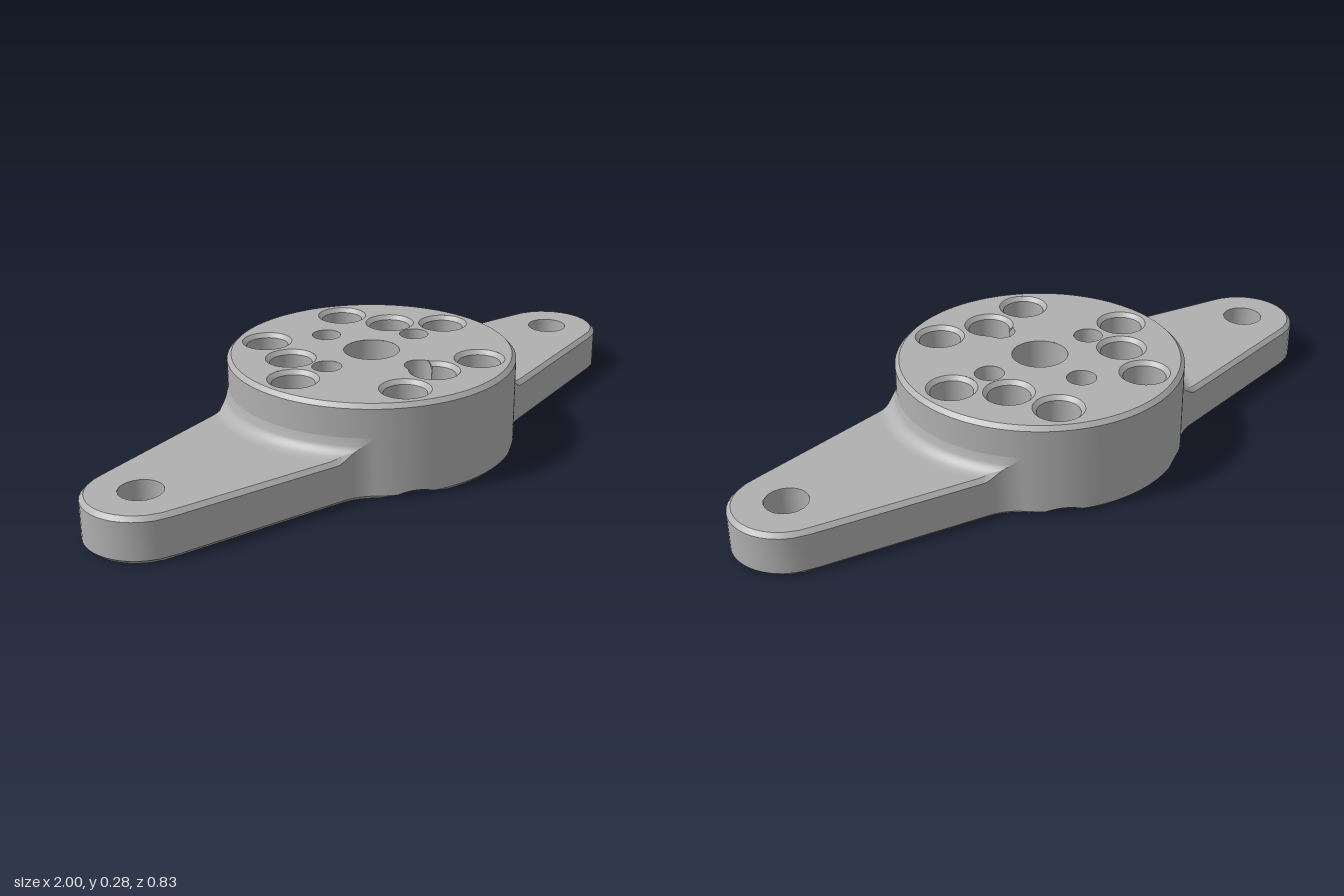
import * as THREE from 'three';

const HUB = 0.413, TOP = 0.275, ARM = 0.13, C = 0.012; // hub radius, heights, chamfer
const FIL = 0.05;                                      // fillet between hub and arms
const END = { x: 0.845, r: 0.155 };                    // rounded arm end
const SIN = 0.187, COS = Math.sqrt(1 - SIN * SIN);     // taper of the arm edges
const LINE = END.r + END.x * SIN, BLEND = 0.15;
const S = Math.sqrt((HUB + BLEND) ** 2 - (LINE + BLEND) ** 2);
const BX = SIN * (LINE + BLEND) + COS * S, BZ = COS * (LINE + BLEND) - SIN * S;
const RAYS = 288;

// Signed distance to the plan outline: hub disc, blend arcs, tapered arms
function outline(px, pz) {
  const x = Math.abs(px), z = Math.abs(pz), t = x * COS - z * SIN;
  if (BX * z - BZ * x > 0) return Math.hypot(x, z) - HUB;
  if (t < S) return BLEND - Math.hypot(x - BX, z - BZ);
  if (t < END.x * COS) return x * SIN + z * COS - LINE;
  return Math.hypot(x - END.x, z) - END.r;
}

// Radius of the outline, inset by a distance, along a ray
function edge(a, inset) {
  let lo = 0.3, hi = 1.1;
  for (let i = 0; i < 40; i++) {
    const m = (lo + hi) / 2;
    if (outline(m * Math.cos(a), m * Math.sin(a)) < -inset) lo = m; else hi = m;
  }
  return lo;
}

// Holes: straight bore r, 45 degree countersink R below, chamfer ch at the top
const hole = (x, z, r, R = 0, ch = 0, top = TOP, floor = -1) => ({ x, z, r, R, ch, top, floor });
const holes = { centreHole: [hole(0, 0, 0.08)], outerHole: [], smallHole: [], blindHole: [], armHole: [] };
for (let i = 0; i < 6; i++) {
  const a = i * Math.PI / 3;
  holes.outerHole.push(hole(0.312 * Math.cos(a), 0.312 * Math.sin(a), 0.06, 0.122, C));
}
for (let i = 0; i < 4; i++) {
  const a = i * Math.PI / 2;
  holes.smallHole.push(hole(0.182 * Math.cos(a), 0.182 * Math.sin(a), 0.042, 0.078));
}
for (let i = 0; i < 3; i++) {
  const a = Math.PI / 2 + i * Math.PI * 2 / 3;
  holes.blindHole.push(hole(0.238 * Math.cos(a), 0.238 * Math.sin(a), 0.06, 0, C, TOP, 0.19));
}
for (const s of [-1, 1]) holes.armHole.push(hole(s * END.x, 0, 0.06, 0, 0, ARM));
const allHoles = Object.values(holes).flat();

// Positive where a point lies outside every hole except the skipped one
function solid(p, skip) {
  let v = 1;
  for (const h of allHoles) {
    if (h === skip) continue;
    const rad = Math.max(h.r, h.R - p[1], h.r + h.ch + p[1] - h.top);
    v = Math.min(v, -Math.min(rad - Math.hypot(p[0] - h.x, p[2] - h.z), p[1] - h.floor));
  }
  return v;
}

// Closed strip around a vertical axis; each row gives [radius, height] per angle
function strip(cx, cz, n, rows) {
  const pos = [], idx = [];
  rows.forEach((row, i) => {
    for (let j = 0; j < n; j++) {
      const a = j / n * Math.PI * 2, [r, y] = typeof row === 'function' ? row(a, j) : row;
      pos.push(cx + r * Math.cos(a), y, cz + r * Math.sin(a));
      if (i === 0) continue;
      const k = (j + 1) % n, A = (i - 1) * n, B = i * n;
      idx.push(A + j, B + j, B + k, A + j, B + k, A + k);
    }
  });
  const g = new THREE.BufferGeometry();
  g.setAttribute('position', new THREE.Float32BufferAttribute(pos, 3));
  g.setIndex(idx);
  g.computeVertexNormals();
  return g;
}

// Trim each triangle to the side where keep(point) is positive
function carve(geo, keep) {
  const g = geo.toNonIndexed(), P = g.attributes.position, N = g.attributes.normal;
  const pos = [], nor = [];
  for (let i = 0; i < P.count; i += 3) {
    const tri = [0, 1, 2].map(k => {
      const q = i + k, v = [P.getX(q), P.getY(q), P.getZ(q), N.getX(q), N.getY(q), N.getZ(q)];
      return { v, f: keep(v) };
    });
    const poly = [];
    tri.forEach((a, k) => {
      const b = tri[(k + 1) % 3];
      if (a.f >= 0) poly.push(a.v);
      if ((a.f >= 0) !== (b.f >= 0)) {
        const t = a.f / (a.f - b.f);
        poly.push(a.v.map((c, m) => c + (b.v[m] - c) * t));
      }
    });
    for (let k = 2; k < poly.length; k++) {
      const [a, b, c] = [poly[0], poly[k - 1], poly[k]];
      const u = [b[0] - a[0], b[1] - a[1], b[2] - a[2]], w = [c[0] - a[0], c[1] - a[1], c[2] - a[2]];
      const area = Math.hypot(u[1] * w[2] - u[2] * w[1], u[2] * w[0] - u[0] * w[2], u[0] * w[1] - u[1] * w[0]);
      if (area < 1e-9) continue;
      for (const q of [a, b, c]) { pos.push(q[0], q[1], q[2]); nor.push(q[3], q[4], q[5]); }
    }
  }
  const out = new THREE.BufferGeometry();
  out.setAttribute('position', new THREE.Float32BufferAttribute(pos, 3));
  out.setAttribute('normal', new THREE.Float32BufferAttribute(nor, 3));
  return out;
}

// Evenly spaced [radius, height] rows between two points
const span = (a, b, n) => Array.from({ length: n + 1 }, (_, i) =>
  [a[0] + (b[0] - a[0]) * i / n, a[1] + (b[1] - a[1]) * i / n]);

export function createModel() {
  const group = new THREE.Group();
  const metal = new THREE.MeshStandardMaterial({ color: 0xb0b0b0 });
  metal.name = 'grey metal';
  const add = (name, geo, parent = group) => {
    const m = new THREE.Mesh(geo, metal);
    m.name = name;
    parent.add(m);
  };
  const body = p => solid(p);

  // Outline radii and the height of the arm surface with its hub fillet
  const rim = [], low = [], high = [], cham = [];
  for (let j = 0; j < RAYS; j++) {
    const a = j / RAYS * Math.PI * 2;
    rim[j] = edge(a, 0);
    low[j] = edge(a, C);
    cham[j] = C * THREE.MathUtils.clamp((rim[j] - HUB - 0.012) / 0.03, 0, 1);
    high[j] = edge(a, cham[j]);
  }
  const height = r => {
    const d = Math.max(0, HUB + FIL - r);
    return ARM + FIL - Math.sqrt(Math.max(0, FIL * FIL - d * d));
  };

  // Underside
  const rings = [];
  for (let i = 0; i <= 44; i++) rings.push(i * 0.0102);
  for (let r = 0.47; r < 1; r += 0.02) rings.push(r);
  rings.push(2);
  add('underside', carve(strip(0, 0, RAYS, rings.map(R => (a, j) => [Math.min(R, low[j]), 0])), body));

  // Lower chamfer and outer wall
  add('lowerChamfer', carve(strip(0, 0, RAYS, [0, 0.5, 1].map(t =>
    (a, j) => [low[j] + (rim[j] - low[j]) * t, C * t])), body));
  const wallTop = j => height(Math.max(HUB, rim[j])) - cham[j];
  add('outerWall', carve(strip(0, 0, RAYS, [C, 0.018, 0.024, 0.032, 1].map(y =>
    (a, j) => [rim[j], Math.min(y, wallTop(j))])), body));

  // Arm upper chamfer and upper face with the fillet
  add('armChamfer', strip(0, 0, RAYS, [
    (a, j) => [rim[j], wallTop(j)],
    (a, j) => [high[j], height(Math.max(HUB, high[j]))]]));
  const armRings = [2];
  for (let r = 0.99; r > HUB + FIL + 0.01; r -= 0.02) armRings.push(r);
  for (let i = 10; i >= 0; i--) armRings.push(HUB + FIL * i / 10);
  add('armTop', carve(strip(0, 0, RAYS, armRings.map(R => (a, j) => {
    const r = Math.max(HUB, Math.min(R, high[j]));
    return [r, height(r)];
  })), body));

  // Hub wall, chamfer and face
  add('hubWall', strip(0, 0, RAYS, [[HUB, ARM + FIL], [HUB, TOP - C]]));
  add('hubChamfer', strip(0, 0, RAYS, [[HUB, TOP - C], [HUB - C, TOP]]));
  add('hubFace', carve(strip(0, 0, RAYS, span([HUB - C, TOP], [0, TOP], 40)), body));

  // Hole linings, from the top edge downwards
  for (const [name, list] of Object.entries(holes)) {
    for (const h of list) {
      const part = new THREE.Group();
      part.name = name;
      const keep = p => Math.min(solid(p, h), -outline(p[0], p[2]) - Math.max(0, C - p[1]));
      const line = (n, a, b, k) => add(n, carve(strip(h.x, h.z, 64, span(a, b, k)), keep), part);
      const bottom = Math.max(0, h.floor, h.R - h.r);
      if (h.ch) line('edgeChamfer', [h.r + h.ch, h.top], [h.r, h.top - h.ch], 1);
      line('bore', [h.r, h.top - h.ch], [h.r, bottom], 12);
      if (h.R) line('countersink', [h.r, bottom], [h.R, 0], 8);
      if (h.floor > 0) line('floor', [h.r, h.floor], [0, h.floor], 8);
      group.add(part);
    }
  }
  return group;
}
